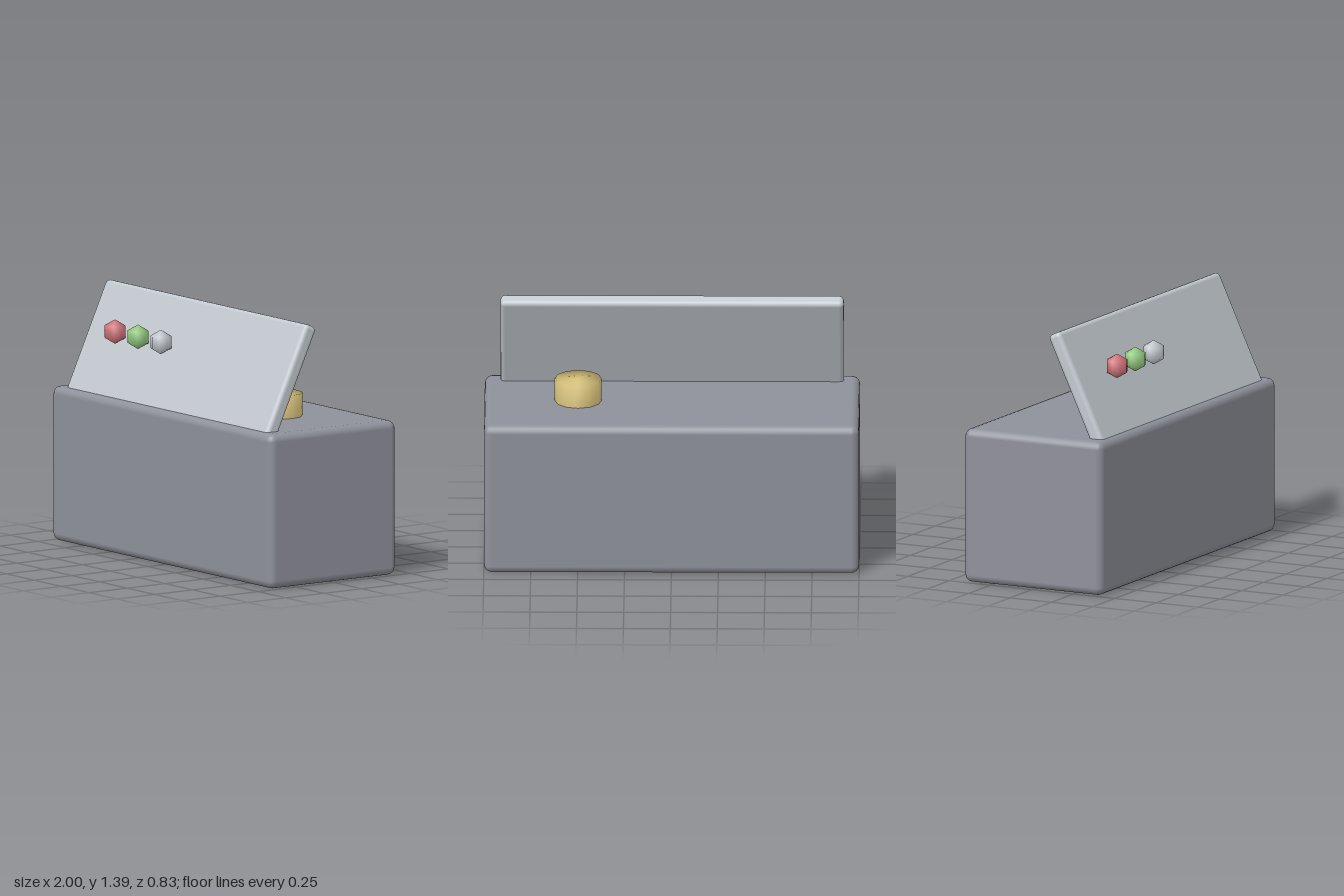
import * as THREE from 'three';
import { RoundedBoxGeometry } from 'three/addons/geometries/RoundedBoxGeometry.js';
import { mergeVertices } from 'three/addons/utils/BufferGeometryUtils.js';

const paint = (name, color) => {
  const m = new THREE.MeshStandardMaterial({ color });
  m.name = name;
  return m;
};

// Weld all corners so that shading runs smoothly over every edge
function welded(geometry) {
  geometry.deleteAttribute('normal');
  geometry.deleteAttribute('uv');
  const g = mergeVertices(geometry, 1e-4);
  g.computeVertexNormals();
  return g;
}

export function createModel() {
  const group = new THREE.Group();
  const bodyGrey = paint('bodyGrey', 0x8f919b);
  const paleGrey = paint('paleGrey', 0xc3c9d0);
  const red = paint('red', 0xd4757b);
  const green = paint('green', 0x93cb80);
  const gold = paint('gold', 0xdac47c);

  const add = (name, geometry, material, x, y, z) => {
    const mesh = new THREE.Mesh(geometry, material);
    mesh.name = name;
    mesh.position.set(x, y, z);
    group.add(mesh);
    return mesh;
  };

  // Console block
  add('body', new RoundedBoxGeometry(2, 0.835, 0.835, 2, 0.042), bodyGrey, 0, 0.4175, 0);

  // Leaning panel, its lower edge sunk into the block
  const panel = add('panel', new RoundedBoxGeometry(1.83, 0.667, 0.077, 2, 0.025), paleGrey, 0, 1.08, 0.222);
  panel.rotation.x = -THREE.MathUtils.degToRad(25);

  // Round knob on top of the block
  add('knob', welded(new THREE.CylinderGeometry(0.125, 0.125, 0.25, 12)), gold, 0.5, 0.835, 0);

  // Row of indicator beads in front of the panel
  const bead = welded(new THREE.SphereGeometry(0.066, 8, 3));
  [['redBead', red], ['greenBead', green], ['paleBead', paleGrey]].forEach(([name, material], i) =>
    add(name, bead, material, -0.585 + i * 0.208, 1.17, 0.293));

  return group;
}
